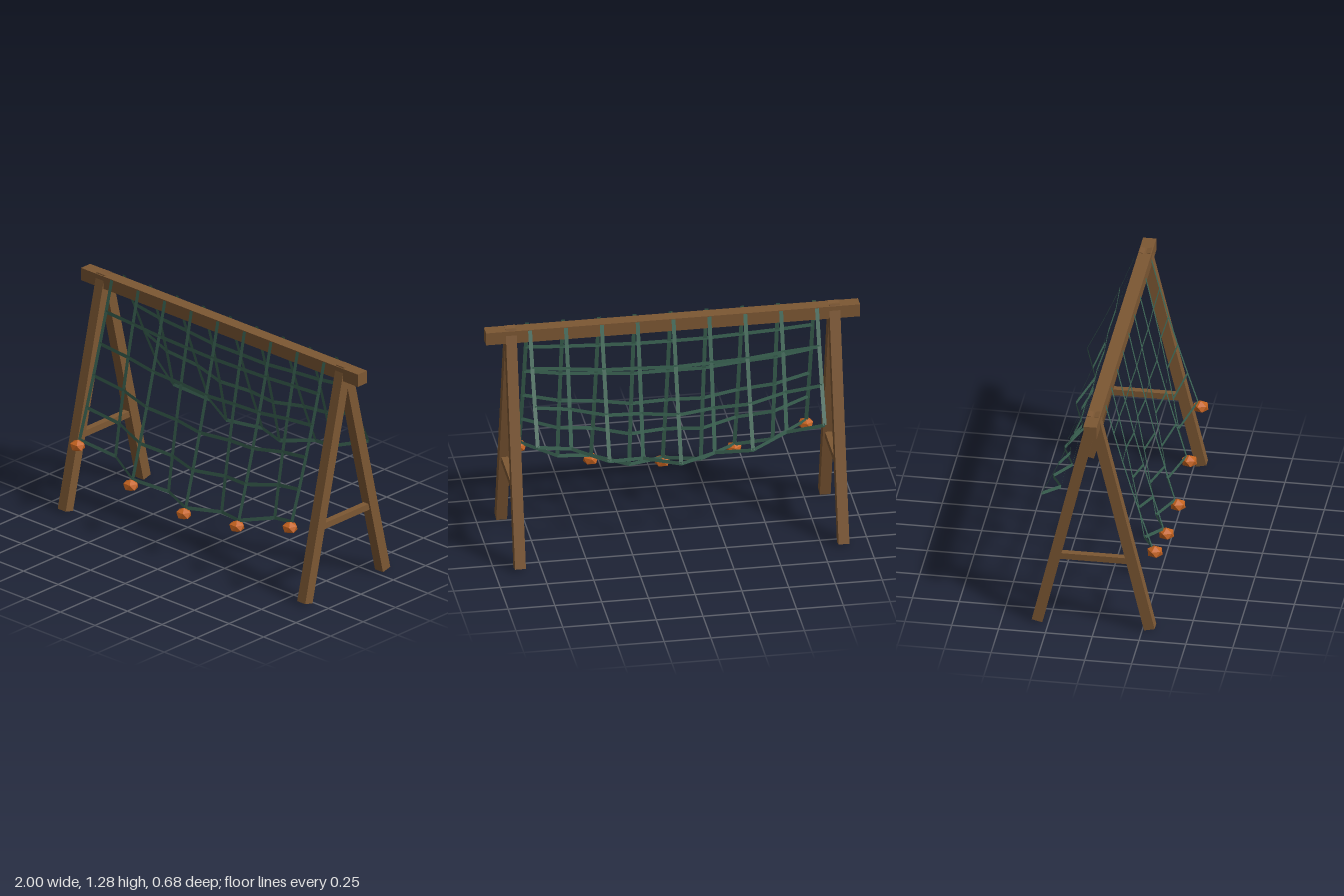
import * as THREE from 'three';

const wood = new THREE.MeshStandardMaterial({ color: 0x7c5733, name: 'wood' });
const netGreen = new THREE.MeshStandardMaterial({ color: 0x3c6655, name: 'netGreen', side: THREE.DoubleSide });
const floatOrange = new THREE.MeshStandardMaterial({ color: 0xc4621f, name: 'floatOrange', flatShading: true });

const MID_Z = -0.012; // plane of the ridge beam
const COLS = 9, NET_HALF = 0.767;

function addBox(parent, name, size, pos, rotX = 0) {
  const mesh = new THREE.Mesh(new THREE.BoxGeometry(...size), wood);
  mesh.name = name;
  mesh.position.set(...pos);
  mesh.rotation.x = rotX;
  parent.add(mesh);
}

// Flat strip along a polyline, widened by +-offset
function ribbon(points, offset) {
  const pos = [];
  const push = (p, s) => pos.push(p.x + s * offset.x, p.y + s * offset.y, p.z + s * offset.z);
  for (let i = 0; i < points.length - 1; i++) {
    const a = points[i], b = points[i + 1];
    push(a, -1); push(b, -1); push(b, 1);
    push(a, -1); push(b, 1); push(a, 1);
  }
  const geo = new THREE.BufferGeometry();
  geo.setAttribute('position', new THREE.Float32BufferAttribute(pos, 3));
  geo.computeVertexNormals();
  return geo;
}

// Draped net: sags towards the middle, with pleats that deepen downwards
function buildNet(name, { rows, edgeDrop, midDrop, zTop, zBottom, pleat }) {
  const net = new THREE.Group();
  net.name = name;
  const node = (c, r) => {
    const t = r / rows;
    const u = (c / (COLS - 1)) * 2 - 1;
    const drop = edgeDrop + (midDrop - edgeDrop) * Math.cos(u * Math.PI / 2);
    const fold = (c % 2 ? -1 : 1) * pleat * t * t;
    return new THREE.Vector3(u * NET_HALF, 1.281 - drop * t, zTop + (zBottom - zTop) * t + fold);
  };
  const add = (label, points, offset) => {
    const mesh = new THREE.Mesh(ribbon(points, offset), netGreen);
    mesh.name = label;
    net.add(mesh);
  };
  for (let c = 0; c < COLS; c++) {
    const pts = Array.from({ length: rows + 1 }, (_, r) => node(c, r));
    add('netUpright', pts, new THREE.Vector3(0.0105, 0, 0));
  }
  for (let r = 1; r <= rows; r++) {
    const pts = Array.from({ length: COLS }, (_, c) => node(c, r));
    add('netRow', pts, new THREE.Vector3(0, 0.0105, 0));
  }
  return { net, node };
}

export function createModel() {
  const model = new THREE.Group();
  model.name = 'netRack';

  // Ridge beam
  addBox(model, 'ridgeBeam', [2, 0.071, 0.071], [0, 1.2425, MID_Z]);

  // A-frames at both ends
  const footSpread = 0.3, legTop = 1.277, legFoot = 0.007;
  const rise = legTop - legFoot;
  const lean = Math.atan2(footSpread, rise);
  for (const side of [-1, 1]) {
    const frame = new THREE.Group();
    frame.name = side > 0 ? 'leftFrame' : 'rightFrame';
    const x = side * 0.865;
    for (const dir of [1, -1]) {
      addBox(frame, dir > 0 ? 'frontLeg' : 'backLeg', [0.058, Math.hypot(rise, footSpread), 0.058],
        [x, (legTop + legFoot) / 2, MID_Z + dir * footSpread / 2], -dir * lean);
    }
    addBox(frame, 'crossBar', [0.036, 0.035, 0.39], [x, 0.408, MID_Z]);
    model.add(frame);
  }

  // Long net in front, short net behind
  const front = buildNet('frontNet', {
    rows: 5, edgeDrop: 0.84, midDrop: 0.997, zTop: 0.035, zBottom: 0.247, pleat: 0.036,
  });
  const back = buildNet('backNet', {
    rows: 3, edgeDrop: 0.568, midDrop: 0.731, zTop: -0.06, zBottom: -0.271, pleat: -0.037,
  });
  model.add(front.net, back.net);

  // Faceted floats along the lower edge of the front net
  const floatGeo = new THREE.IcosahedronGeometry(0.045, 0);
  floatGeo.rotateZ(-Math.atan(2 / (1 + Math.sqrt(5)))); // stand it on a vertex
  floatGeo.rotateY(Math.PI / 2);
  floatGeo.scale(1, 0.73, 1);
  for (let c = 0; c < COLS; c += 2) {
    const ball = new THREE.Mesh(floatGeo, floatOrange);
    ball.name = 'netFloat';
    ball.position.copy(front.node(c, 5)).add(new THREE.Vector3(0, -0.029, 0.015));
    model.add(ball);
  }
  return model;
}
